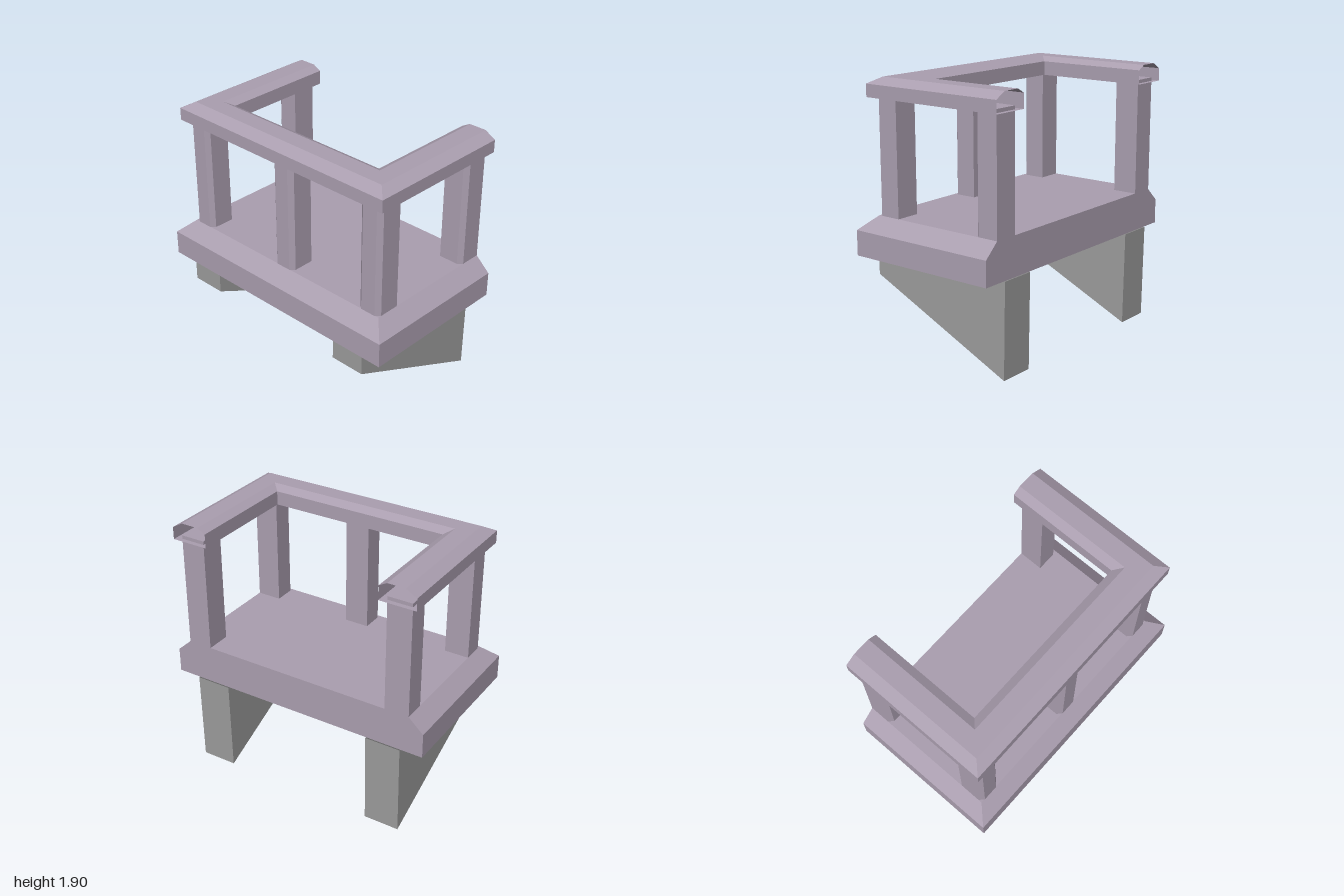
import * as THREE from 'three';

const paint = new THREE.MeshStandardMaterial({ color: 0xaa9eaf, flatShading: true, side: THREE.DoubleSide });
const grey = new THREE.MeshStandardMaterial({ color: 0x9c9c9c, flatShading: true, side: THREE.DoubleSide });

const BACK = -0.555;   // rear plane of the deck
const FLOOR = 0.96;    // deck surface height

function addMesh(parent, name, geometry, material = paint) {
  const mesh = new THREE.Mesh(geometry, material);
  mesh.name = name;
  parent.add(mesh);
  return mesh;
}

function polygon(points) {
  return new THREE.Shape(points.map(([x, y]) => new THREE.Vector2(x, y)));
}

// Skins rows of points with flat quads
function skin(rows) {
  const positions = [];
  for (let j = 0; j < rows.length - 1; j++) {
    for (let k = 0; k < rows[j].length - 1; k++) {
      const a = rows[j][k], b = rows[j][k + 1], c = rows[j + 1][k + 1], d = rows[j + 1][k];
      positions.push(...a, ...b, ...c, ...a, ...c, ...d);
    }
  }
  const geometry = new THREE.BufferGeometry();
  geometry.setAttribute('position', new THREE.Float32BufferAttribute(positions, 3));
  geometry.computeVertexNormals();
  return geometry;
}

// Sweeps a profile of [inset, height] points round the right, front and left sides, with mitred corners
function sweepU(profile, halfWidth, front, back) {
  return skin(profile.map(([inset, y]) => {
    const x = halfWidth - inset, z = front - inset;
    return [[-x, y, back], [-x, y, z], [x, y, z], [x, y, back]];
  }));
}

// Upright post with its front at z = 0 and the chosen front corners chamfered
function postGeometry(height, chamferRight, chamferLeft) {
  const right = chamferRight ? [[-0.09, 0.03], [-0.057, 0]] : [[-0.09, 0]];
  const left = chamferLeft ? [[0.057, 0], [0.09, 0.03]] : [[0.09, 0]];
  const outline = polygon([[-0.09, 0.183], ...right, ...left, [0.09, 0.183]]);
  return new THREE.ExtrudeGeometry(outline, { depth: height, bevelEnabled: false }).rotateX(-Math.PI / 2);
}

// Wedge bracket, open at the top where it meets the deck
function bracketGeometry(halfWidth) {
  const ring = (zFront, yFront, zBack, yBack) => [
    [-halfWidth, yBack, zBack], [-halfWidth, yFront, zFront],
    [halfWidth, yFront, zFront], [halfWidth, yBack, zBack], [-halfWidth, yBack, zBack],
  ];
  const top = ring(0.557, 0.68, -0.565, 0.68);
  const bottom = ring(0.557, 0.51, -0.555, 0);
  const centre = new Array(5).fill([0, 0.255, 0.001]);
  return skin([centre, bottom, top]);
}

export function createModel() {
  const model = new THREE.Group();
  model.name = 'balcony';

  // Hollow deck: bevelled rim, floor and flat rear wall, open underneath
  const deck = new THREE.Group();
  deck.name = 'deck';
  model.add(deck);
  const front = 0.587, bevel = 0.11;
  addMesh(deck, 'deckRim', sweepU([[0, 0.68], [0, 0.86], [bevel, FLOOR]], 1, front, BACK));
  const depth = front - bevel - BACK;
  const floor = addMesh(deck, 'floor', new THREE.PlaneGeometry(2 * (1 - bevel), depth).rotateX(-Math.PI / 2));
  floor.position.set(0, FLOOR, BACK + depth / 2);
  const wall = polygon([[-1, 0.68], [1, 0.68], [1, 0.86], [1 - bevel, FLOOR], [bevel - 1, FLOOR], [-1, 0.86]]);
  addMesh(deck, 'rearWall', new THREE.ShapeGeometry(wall).rotateY(Math.PI)).position.z = BACK;

  // Posts, ending just inside the rail; the back pair is chamfered on the outer front corner only
  const postHeight = 1.795 - FLOOR;
  const spots = [
    ['frontRightPost', -0.8, 0.48, true, true],
    ['frontMiddlePost', 0.02, 0.48, true, true],
    ['frontLeftPost', 0.8, 0.48, true, true],
    ['backRightPost', -0.8, -0.372, true, false],
    ['backLeftPost', 0.8, -0.372, false, true],
  ];
  for (const [name, x, z, right, left] of spots) {
    addMesh(model, name, postGeometry(postHeight, right, left)).position.set(x, FLOOR, z);
  }

  // Hollow handrail, open at its back ends
  const railProfile = [[0, 1.77], [0, 1.86], [0.08, 1.905], [0.21, 1.905], [0.27, 1.872], [0.27, 1.77], [0, 1.77]];
  addMesh(model, 'handrail', sweepU(railProfile, 0.935, 0.52, -0.59));

  // Brackets under the deck
  const bracket = bracketGeometry(0.131);
  addMesh(model, 'rightBracket', bracket, grey).position.x = -0.706;
  addMesh(model, 'leftBracket', bracket, grey).position.x = 0.694;

  return model;
}
